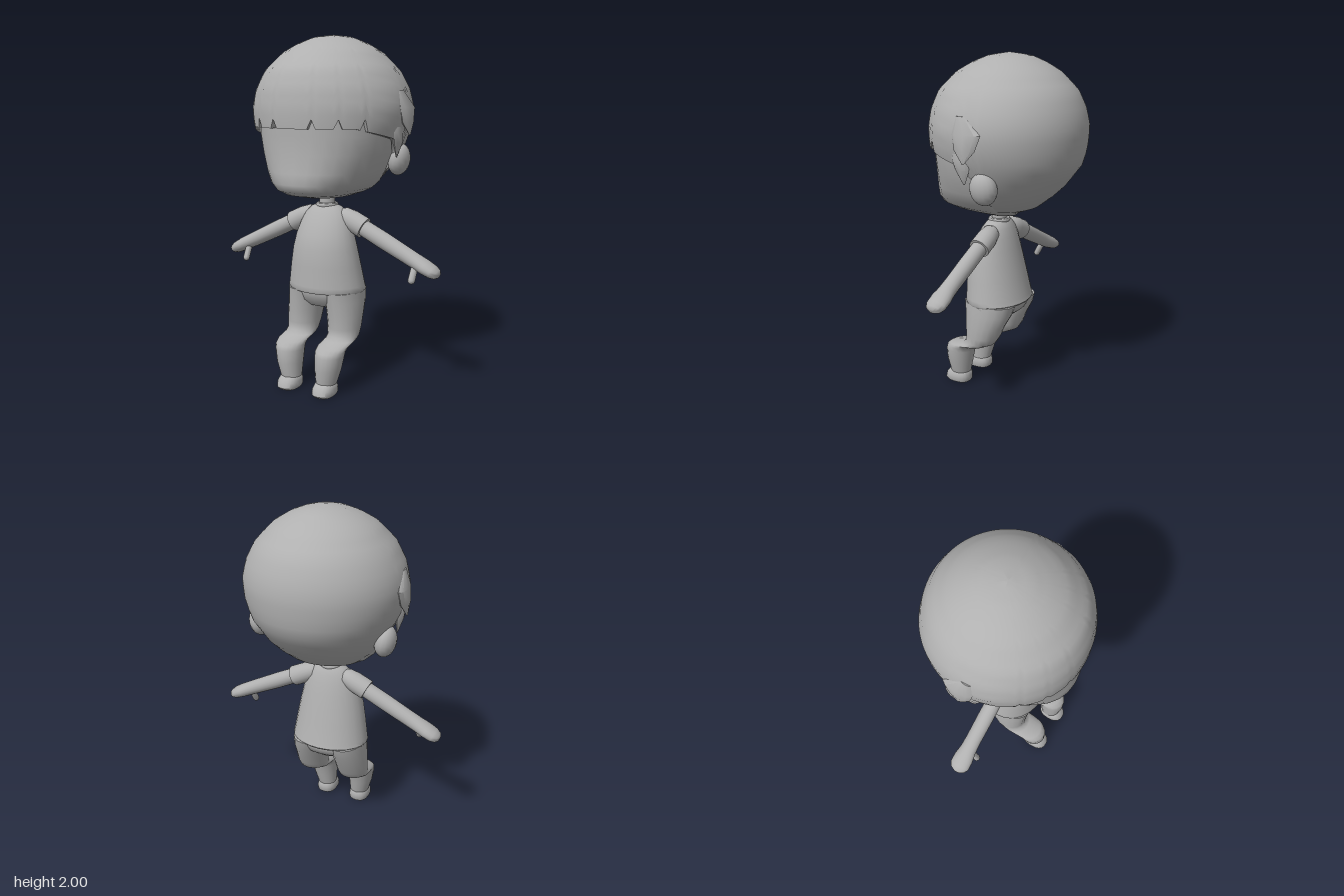
import * as THREE from 'three';
import { toCreasedNormals } from 'three/addons/utils/BufferGeometryUtils.js';
import { ParametricGeometry } from 'three/addons/geometries/ParametricGeometry.js';

const grey = new THREE.MeshStandardMaterial({ color: 0xb0b0b0 });
grey.name = 'plain grey';

function add(parent, name, geometry, crease = 0.8) {
  const mesh = new THREE.Mesh(toCreasedNormals(geometry, crease), grey);
  mesh.name = name;
  parent.add(mesh);
  return mesh;
}

// Skin over rings listed upwards: [y, centre x, half width, front z, back z].
// cz is where the ring is widest; power above 2 makes it squarer.
function loft(rings, { sides = 20, cz = null, power = 2 } = {}) {
  const full = [[...rings[0]], ...rings, [...rings.at(-1)]];
  for (const r of [full[0], full.at(-1)]) {
    const mid = (r[3] + r[4]) / 2;
    r[2] = 0.0005;
    r[3] = mid + 0.0005;
    r[4] = mid - 0.0005;
  }
  const n = full.length - 1;
  const bend = (t) => Math.sign(t) * Math.abs(t) ** (2 / power);
  return new ParametricGeometry((u, v, p) => {
    const [y, cx, rx, zf, zb] = full[Math.round(v * n)];
    const a = u * Math.PI * 2;
    const c = bend(Math.cos(a));
    const mid = cz === null || zf < cz || zb > cz ? (zf + zb) / 2 : cz;
    p.set(cx + rx * bend(Math.sin(a)), y, mid + c * (c > 0 ? zf - mid : mid - zb));
  }, sides, n);
}

// Hair outline: [y, half width, front z, back depth]
const hairOutline = [
  [1.08, 0.01, 0.01, 0.01], [1.1, 0.12, 0.12, 0.09], [1.15, 0.24, 0.24, 0.19],
  [1.25, 0.335, 0.34, 0.31], [1.4, 0.42, 0.43, 0.425], [1.5, 0.452, 0.45, 0.442],
  [1.6, 0.462, 0.45, 0.45], [1.7, 0.438, 0.435, 0.43], [1.8, 0.383, 0.395, 0.385],
  [1.9, 0.285, 0.29, 0.285], [1.95, 0.2, 0.2, 0.2], [1.985, 0.11, 0.11, 0.12], [2, 0.0005, 0.0005, 0.0005],
];

function hairAt(y) {
  let i = 0;
  while (i < hairOutline.length - 2 && y > hairOutline[i + 1][0]) i++;
  const a = hairOutline[i], b = hairOutline[i + 1];
  const t = THREE.MathUtils.clamp((y - a[0]) / (b[0] - a[0]), 0, 1);
  return a.map((value, k) => THREE.MathUtils.lerp(value, b[k], t));
}

// Lower edge of the hair: notched fringe, sideburn, then down to the nape
function hairEdge(degrees) {
  const d = Math.round(Math.abs(degrees));
  if ([15, 33, 51].includes(d)) return 1.54;
  const ramp = THREE.MathUtils.mapLinear;
  if (d <= 45) return 1.49;
  if (d <= 81) return ramp(d, 45, 81, 1.49, 1.43);
  if (d <= 90) return ramp(d, 81, 90, 1.43, 1.36);
  return d < 99 ? ramp(d, 90, 99, 1.36, 1.08) : 1.08;
}

function hairGeometry() {
  const rows = 24;
  return new ParametricGeometry((u, v, p) => {
    const angle = (u - 0.5) * 360;
    const row = Math.round(v * rows);
    const bottom = hairEdge(angle);
    const rise = Math.sin((Math.max(row - 1, 0) / (rows - 1)) * Math.PI / 2);
    const [y, rx, zf, zb] = hairAt(bottom + (2 - bottom) * rise);
    const inset = row === 0 ? 0.93 : 1;
    const a = THREE.MathUtils.degToRad(angle);
    const c = Math.cos(a);
    p.set(Math.sin(a) * rx * inset, y, c * (c > 0 ? zf : zb) * inset);
  }, 120, rows);
}

function addHead(model) {
  const head = new THREE.Group();
  head.name = 'head';
  model.add(head);
  add(head, 'hair', hairGeometry(), 0.9);
  add(head, 'face', loft([
    [1.08, 0, 0.04, 0.06, -0.04], [1.1, 0, 0.13, 0.24, -0.06], [1.125, 0, 0.2, 0.37, -0.08],
    [1.15, 0, 0.25, 0.42, -0.1], [1.19, 0, 0.295, 0.433, -0.1], [1.25, 0, 0.33, 0.425, -0.1],
    [1.35, 0, 0.372, 0.413, -0.1], [1.45, 0, 0.395, 0.413, -0.1], [1.56, 0, 0.4, 0.415, -0.1],
  ], { sides: 32, cz: 0, power: 2.25 }), 1);
  for (const s of [1, -1]) {
    const ear = add(head, s > 0 ? 'leftEar' : 'rightEar', new THREE.SphereGeometry(1, 16, 12));
    ear.scale.set(0.06, 0.09, 0.08);
    ear.position.set(s * 0.385, 1.31, -0.07);
    ear.rotation.z = -s * 0.15;
    add(head, 'upperSideTuft', loft([
      [1.45, s * 0.477, 0.003, 0, -0.01], [1.52, s * 0.463, 0.022, 0.06, -0.07],
      [1.6, s * 0.455, 0.026, 0.075, -0.1], [1.69, s * 0.435, 0.01, 0.06, 0],
    ], { sides: 8 }));
    add(head, 'lowerSideTuft', loft([
      [1.33, s * 0.415, 0.003, 0.035, 0.025], [1.41, s * 0.425, 0.02, 0.08, -0.01],
      [1.47, s * 0.43, 0.02, 0.1, 0], [1.55, s * 0.43, 0.01, 0.08, 0.02],
    ], { sides: 8 }));
  }
}

function addTorso(model) {
  add(model, 'neck', new THREE.CylinderGeometry(0.045, 0.045, 0.12, 16)).position.set(0, 1.06, 0.07);
  const collar = add(model, 'collar', new THREE.TorusGeometry(0.052, 0.014, 8, 20));
  collar.rotation.x = Math.PI / 2;
  collar.position.set(0, 1.045, 0.07);
  add(model, 'shirt', loft([
    [0.555, 0, 0.232, 0.25, -0.11], [0.565, 0, 0.238, 0.255, -0.117], [0.59, 0, 0.233, 0.253, -0.11],
    [0.7, 0, 0.215, 0.25, -0.085], [0.8, 0, 0.197, 0.243, -0.062], [0.88, 0, 0.178, 0.222, -0.043],
    [0.95, 0, 0.155, 0.188, -0.025], [1.0, 0, 0.13, 0.16, -0.008], [1.035, 0, 0.095, 0.135, 0.008],
    [1.05, 0, 0.055, 0.12, 0.02],
  ], { sides: 24 }));
  add(model, 'hips', loft([
    [0.445, 0, 0.06, 0.12, 0], [0.465, 0, 0.14, 0.18, -0.03], [0.5, 0, 0.21, 0.213, -0.075],
    [0.54, 0, 0.228, 0.228, -0.098], [0.6, 0, 0.222, 0.235, -0.1],
  ], { sides: 24 }), 1);
}

function addArm(model, s) {
  const arm = new THREE.Group();
  arm.name = s > 0 ? 'leftArm' : 'rightArm';
  arm.position.set(s * 0.13, 0.975, 0.06);
  arm.rotation.z = -s * 2.02;
  model.add(arm);
  const ring = (t, rx, rz = rx) => [t, 0, rx, rz, -rz];
  add(arm, 'sleeve', loft([
    ring(-0.06, 0.025), ring(-0.03, 0.05), ring(0.03, 0.06), ring(0.118, 0.061),
  ]));
  add(arm, 'forearmAndHand', loft([
    ring(0.08, 0.047), ring(0.25, 0.048), ring(0.4, 0.045, 0.047), ring(0.47, 0.043, 0.05),
    ring(0.53, 0.041, 0.06), ring(0.58, 0.036, 0.06), ring(0.608, 0.028, 0.045), ring(0.622, 0.014, 0.02),
  ]), 1.1);
  const base = new THREE.Vector3(s * 0.025, 0.485, 0.02);
  const tip = new THREE.Vector3(s * 0.087, 0.512, 0.055);
  const along = tip.clone().sub(base);
  const thumb = add(arm, 'thumb', new THREE.CapsuleGeometry(0.02, along.length(), 4, 10));
  thumb.position.copy(base).add(tip).multiplyScalar(0.5);
  thumb.quaternion.setFromUnitVectors(new THREE.Vector3(0, 1, 0), along.normalize());
}

function addLeg(model, s) {
  const leg = new THREE.Group();
  leg.name = s > 0 ? 'leftLeg' : 'rightLeg';
  model.add(leg);
  add(leg, 'trouserLeg', loft([
    [0.065, s * 0.117, 0.06, 0.345, 0.218], [0.15, s * 0.127, 0.075, 0.36, 0.195],
    [0.225, s * 0.132, 0.083, 0.36, 0.177], [0.25, s * 0.133, 0.085, 0.352, 0.168],
    [0.268, s * 0.134, 0.087, 0.325, 0.135], [0.285, s * 0.136, 0.09, 0.235, 0.065],
    [0.305, s * 0.136, 0.091, 0.21, 0.025], [0.35, s * 0.135, 0.096, 0.208, -0.005],
    [0.42, s * 0.132, 0.101, 0.213, -0.035], [0.5, s * 0.124, 0.107, 0.22, -0.08],
    [0.56, s * 0.118, 0.108, 0.228, -0.098],
  ]), 1.1);
  add(leg, 'shoe', loft([
    [0, s * 0.117, 0.058, 0.372, 0.22], [0.012, s * 0.117, 0.064, 0.382, 0.213],
    [0.04, s * 0.117, 0.063, 0.375, 0.213], [0.065, s * 0.117, 0.055, 0.352, 0.218],
    [0.075, s * 0.117, 0.04, 0.335, 0.23],
  ], { power: 2.5 }));
}

export function createModel() {
  const model = new THREE.Group();
  model.name = 'figure';
  addHead(model);
  addTorso(model);
  for (const s of [1, -1]) {
    addArm(model, s);
    addLeg(model, s);
  }
  return model;
}
